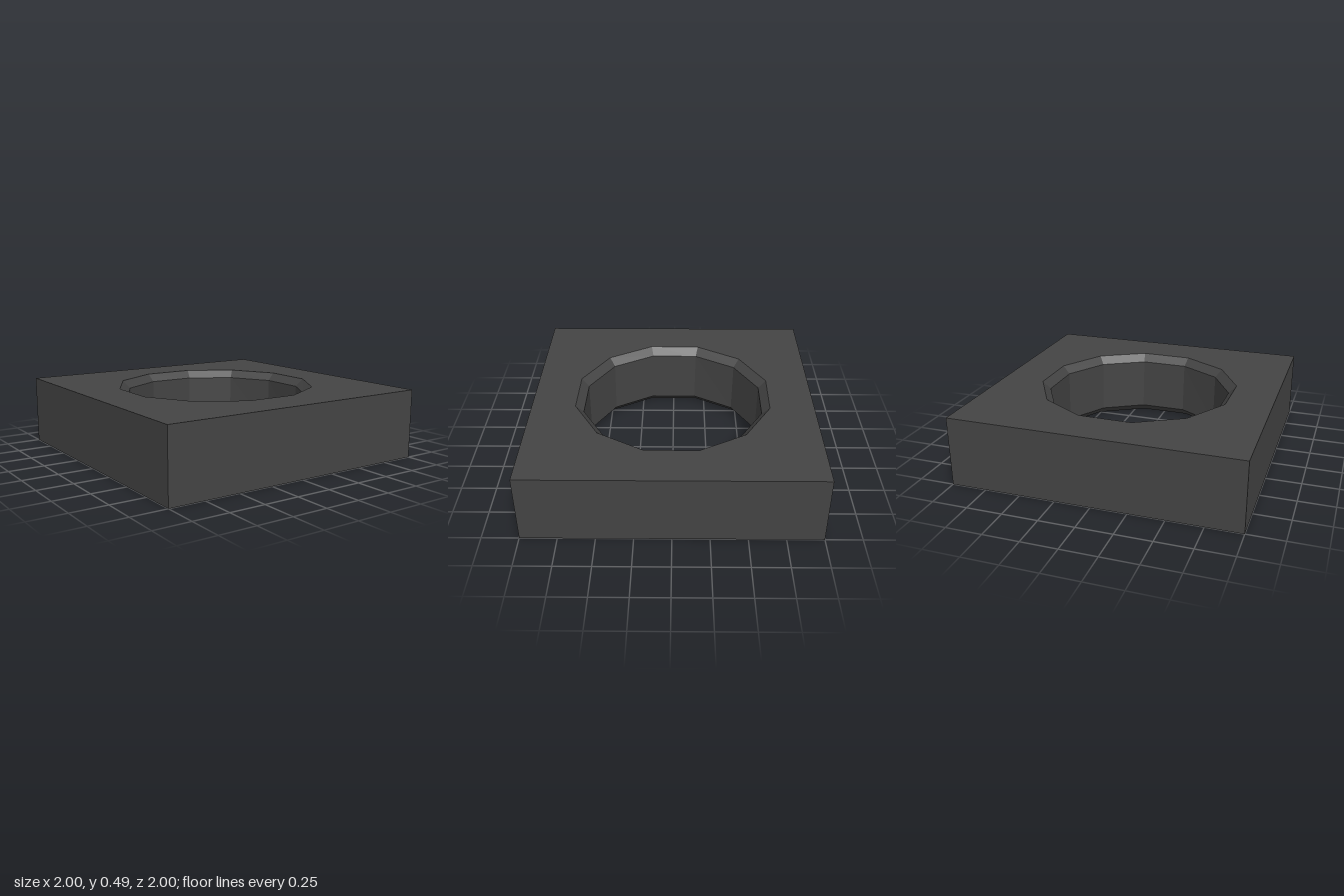
import * as THREE from 'three';

const HEIGHT = 0.49, SIDES = 12, RIM = 0.712, BORE = 0.656, CHAMFER = 0.055;
const START = THREE.MathUtils.degToRad(15);
const TWIST = THREE.MathUtils.degToRad(0.7);

// The bore turns very slightly from bottom to top
const startAngle = (y) => START - TWIST * (y / HEIGHT);

export function createModel() {
  const group = new THREE.Group();
  group.name = 'squareBlockWithBore';
  const material = new THREE.MeshStandardMaterial({ color: 0x444444, flatShading: true });
  const add = (name, geometry) => {
    const mesh = new THREE.Mesh(geometry, material);
    mesh.name = name;
    group.add(mesh);
    return mesh;
  };

  // Four outer walls: an open four-sided prism
  const walls = new THREE.CylinderGeometry(Math.SQRT2, Math.SQRT2, HEIGHT, 4, 1, true, Math.PI / 4);
  add('outerWalls', walls.translate(0, HEIGHT / 2, 0));

  // Square faces with a twelve-sided opening; dir is +1 for the top, -1 for the bottom
  const addFace = (name, y, dir) => {
    const shape = new THREE.Shape([[-1, -1], [1, -1], [1, 1], [-1, 1]].map(([a, b]) => new THREE.Vector2(a, b)));
    const opening = [];
    for (let i = 0; i < SIDES; i++) {
      const a = startAngle(y) + (i / SIDES) * Math.PI * 2;
      opening.push(new THREE.Vector2(RIM * Math.sin(a), -dir * RIM * Math.cos(a)));
    }
    shape.holes.push(new THREE.Path(opening));
    const face = new THREE.ShapeGeometry(shape);
    add(name, face.rotateX(-dir * Math.PI / 2).translate(0, y, 0));
  };
  addFace('topFace', HEIGHT, 1);
  addFace('bottomFace', 0, -1);

  // Bore wall with a chamfer at each end, running downward so it faces inward
  const profile = [[RIM, HEIGHT], [BORE, HEIGHT - CHAMFER], [BORE, CHAMFER], [RIM, 0]];
  const bore = new THREE.LatheGeometry(profile.map(([r, y]) => new THREE.Vector2(r, y)), SIDES);
  const pos = bore.attributes.position;
  const v = new THREE.Vector3(), up = new THREE.Vector3(0, 1, 0);
  for (let i = 0; i < pos.count; i++) {
    v.fromBufferAttribute(pos, i).applyAxisAngle(up, startAngle(v.y));
    pos.setXYZ(i, v.x, v.y, v.z);
  }
  bore.computeVertexNormals();
  add('chamferedBore', bore);

  return group;
}
